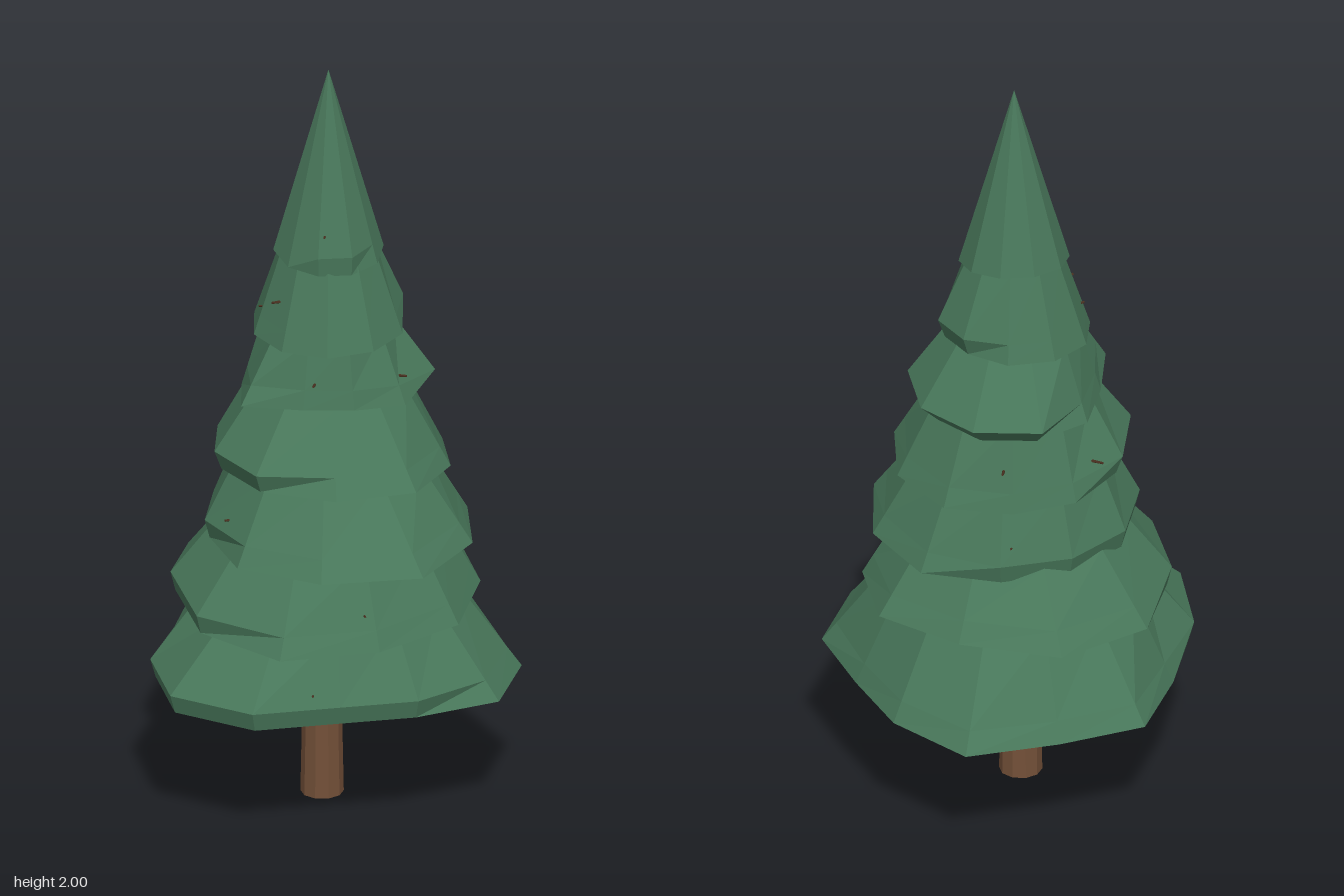
import * as THREE from 'three';

const CX = 0.01, CZ = 0.02; // axis of the foliage
const LIP = 0.05; // height of the lip above each rim
const rad = THREE.MathUtils.degToRad;

// Closed surface through rings of equal length, listed from the underside upward
function loft(rings) {
  const pos = [];
  const tri = (a, b, c) => {
    if (a.distanceTo(b) > 1e-6 && b.distanceTo(c) > 1e-6 && c.distanceTo(a) > 1e-6) {
      for (const p of [a, b, c]) pos.push(p.x, p.y, p.z);
    }
  };
  const n = rings[0].length;
  for (let i = 0; i < rings.length - 1; i++) {
    for (let k = 0; k < n; k++) {
      const j = (k + 1) % n, lo = rings[i], hi = rings[i + 1];
      tri(lo[k], hi[k], lo[j]);
      tri(lo[j], hi[k], hi[j]);
    }
  }
  const geo = new THREE.BufferGeometry();
  geo.setAttribute('position', new THREE.Float32BufferAttribute(pos, 3));
  geo.computeVertexNormals();
  return geo;
}

// y: rim height; start: angle of the first corner; tilt: rise of the rim and its direction
// blunt: direction and half width of the arc whose lower edge is tucked in; rim: corner radii
const TIERS = [
  { y: 0.35, start: 20, tilt: [0.008, 95], blunt: [140, 70], tuck: 0.03,
    rim: [0.49, 0.5, 0.43, 0.405, 0.485, 0.515, 0.46, 0.43, 0.495, 0.467, 0.53, 0.465, 0.43] },
  { y: 0.565, start: 16, tilt: [0.025, 305], blunt: [175, 30], tuck: 0.03,
    rim: [0.385, 0.4, 0.39, 0.43, 0.42, 0.4, 0.43, 0.45, 0.4, 0.41] },
  { y: 0.737, start: 2, tilt: [0.012, 85], blunt: [230, 65], tuck: 0.04,
    rim: [0.365, 0.39, 0.435, 0.4, 0.37, 0.325, 0.31, 0.3, 0.31, 0.35] },
  { y: 0.93, start: -4, tilt: [0.02, 110], blunt: [180, 45], tuck: 0.06,
    rim: [0.31, 0.32, 0.35, 0.34, 0.34, 0.31, 0.29, 0.27, 0.27, 0.3] },
  { y: 1.12, start: 17, tilt: [0.022, 120], blunt: [325, 65], tuck: 0.18,
    rim: [0.27, 0.24, 0.205, 0.21, 0.275, 0.22, 0.24, 0.285, 0.285, 0.28] },
  { y: 1.295, start: 0, tilt: [0.01, 300], blunt: [345, 25], tuck: 0.09, rim: Array(10).fill(0.198) },
  { y: 1.505, start: 10, tilt: [0.022, 275], blunt: [100, 25], tuck: 0.03, rim: Array(10).fill(0.141) },
];

function tierGeometry({ y, start, tilt, blunt, tuck, rim }, next) {
  // Each tier ends just inside the one above; the last one ends in a point
  const top = next ? next.y + 0.018 : 2;
  const r = next ? 0.32 - (top - 0.58) * 0.21 : 0;
  const angle = (k) => rad(start + (k * 360) / rim.length);
  const at = (k, radius, h) =>
    new THREE.Vector3(CX + radius * Math.cos(angle(k)), h, CZ + radius * Math.sin(angle(k)));
  const height = (k) => y + tilt[0] * Math.cos(angle(k) - rad(tilt[1]));
  const isBlunt = (k) => Math.cos(angle(k) - rad(blunt[0])) > Math.cos(rad(blunt[1]));

  const underside = rim.map(() => new THREE.Vector3(CX, y + 0.02, CZ));
  const edge = rim.map((d, k) => at(k, isBlunt(k) ? d * (1 - tuck) : d, height(k)));
  const lip = rim.map((d, k) =>
    at(k, isBlunt(k) ? d : THREE.MathUtils.lerp(d, r, LIP / (top - height(k))), height(k) + LIP));
  const shoulder = rim.map((d, k) => at(k, r, top));
  const cap = rim.map(() => new THREE.Vector3(CX, next ? top + 0.05 : top, CZ));
  return loft([underside, edge, lip, shoulder, cap]);
}

// Twig tips: angle in degrees, height, distance from the axis
const TWIGS = [
  [112, 1.59, 0.13], [160, 1.4, 0.18], [185, 1.36, 0.18], [118, 1.21, 0.21],
  [48, 1.2, 0.23], [165, 0.82, 0.31], [92, 0.63, 0.35], [113, 0.44, 0.41],
  [230, 1.0, 0.28], [285, 0.82, 0.29], [290, 1.02, 0.26], [190, 1.02, 0.26],
];
const TWIG_LENGTH = 0.07;

export function createModel() {
  const tree = new THREE.Group();
  tree.name = 'pineTree';
  const green = new THREE.MeshStandardMaterial({ color: 0x48775a, flatShading: true });
  const brown = new THREE.MeshStandardMaterial({ color: 0x735038, flatShading: true });
  const darkBrown = new THREE.MeshStandardMaterial({ color: 0x4a3020, flatShading: true });

  // Trunk
  const trunk = new THREE.Mesh(new THREE.CylinderGeometry(0.046, 0.055, 0.45, 10), brown);
  trunk.name = 'trunk';
  trunk.position.set(-0.009, 0.225, 0.027);
  tree.add(trunk);

  // Stacked skirts of foliage
  const foliage = new THREE.Group();
  foliage.name = 'foliage';
  TIERS.forEach((tier, i) => {
    const mesh = new THREE.Mesh(tierGeometry(tier, TIERS[i + 1]), green);
    mesh.name = `foliageTier${i + 1}`;
    foliage.add(mesh);
  });
  tree.add(foliage);

  // Short twigs poking out of the foliage
  const twigs = new THREE.Group();
  twigs.name = 'twigs';
  const up = new THREE.Vector3(0, 1, 0);
  for (const [deg, y, reach] of TWIGS) {
    const a = rad(deg);
    const dir = new THREE.Vector3(Math.cos(a), 0.15, Math.sin(a)).normalize();
    const twig = new THREE.Mesh(new THREE.CylinderGeometry(0.003, 0.005, TWIG_LENGTH, 5), darkBrown);
    twig.name = 'twig';
    twig.quaternion.setFromUnitVectors(up, dir);
    twig.position.set(CX + reach * Math.cos(a), y, CZ + reach * Math.sin(a));
    twig.position.addScaledVector(dir, -TWIG_LENGTH / 2);
    twigs.add(twig);
  }
  tree.add(twigs);
  return tree;
}
